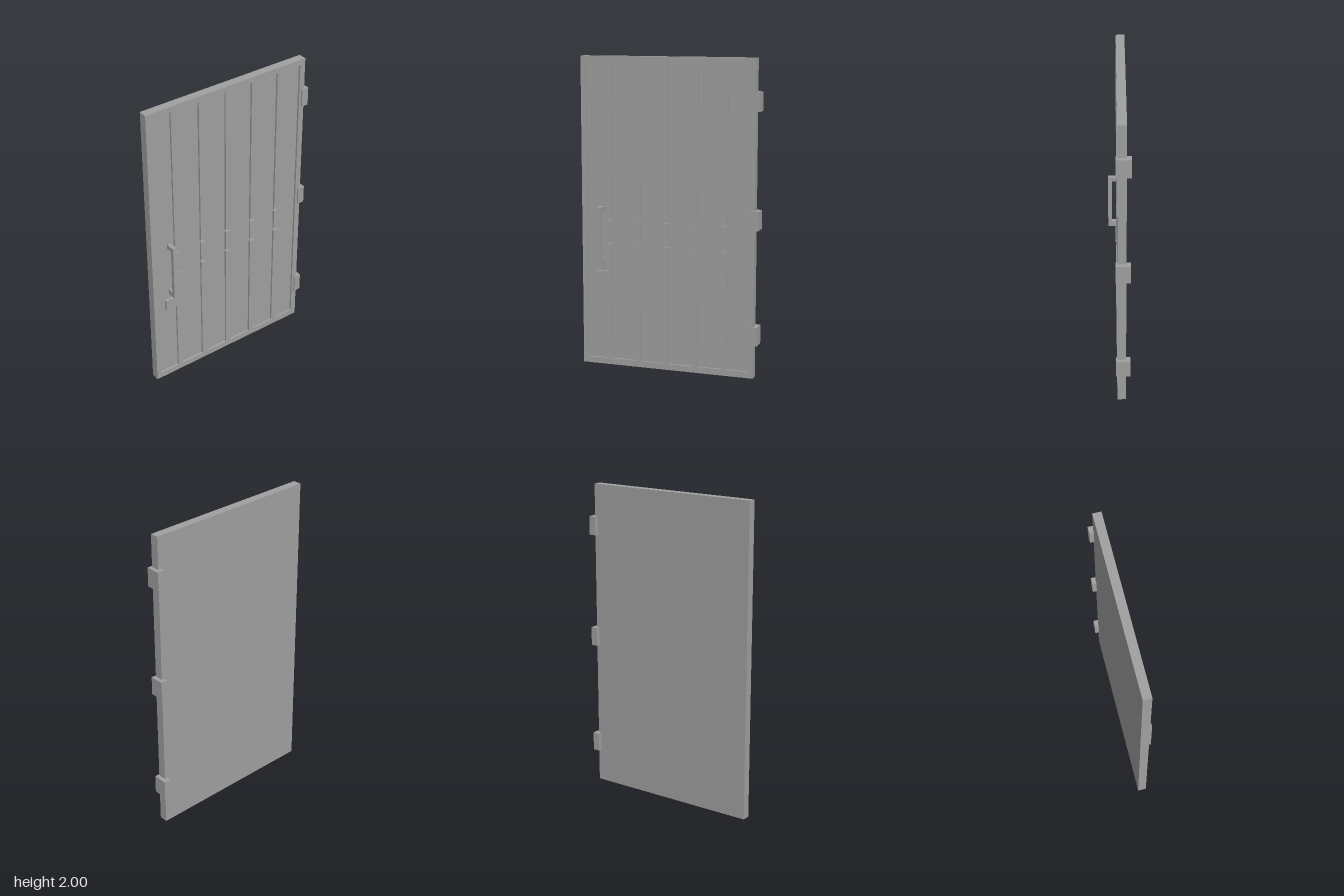
import * as THREE from 'three';

export function createModel() {
  const model = new THREE.Group();
  model.name = 'door';
  const steel = new THREE.MeshStandardMaterial({ color: 0xa0a0a0 });
  steel.name = 'grey steel';

  // Box given by its limits on each axis
  function box(name, x0, x1, y0, y1, z0, z1, parent = model) {
    const mesh = new THREE.Mesh(new THREE.BoxGeometry(x1 - x0, y1 - y0, z1 - z0), steel);
    mesh.position.set((x0 + x1) / 2, (y0 + y1) / 2, (z0 + z1) / 2);
    mesh.name = name;
    parent.add(mesh);
    return mesh;
  }

  const left = -0.587, right = 0.562, back = -0.04, panelZ = 0.001, front = 0.0145;
  const strips = [-0.4, -0.206, -0.0145, 0.1775, 0.37];
  const half = 0.0175;

  // Back slab, whose front is the recessed panel
  box('panel', left, right, 0, 2, back, panelZ);

  // Frame with strips reaching in from the bottom and the top
  const frame = new THREE.Shape([
    new THREE.Vector2(left, 0), new THREE.Vector2(right, 0),
    new THREE.Vector2(right, 2), new THREE.Vector2(left, 2),
  ]);
  const innerL = -0.553, innerR = 0.525, innerB = 0.04, innerT = 1.965;
  const opening = [[innerL, innerB]];
  for (const x of strips) {
    opening.push([x - half, innerB], [x - half, 0.801], [x + half, 0.801], [x + half, innerB]);
  }
  opening.push([innerR, innerB], [innerR, innerT]);
  for (const x of [...strips].reverse()) {
    opening.push([x + half, innerT], [x + half, 0.973], [x - half, 0.973], [x - half, innerT]);
  }
  opening.push([innerL, innerT]);
  frame.holes.push(new THREE.Path(opening.map(([x, y]) => new THREE.Vector2(x, y))));
  const frameMesh = new THREE.Mesh(
    new THREE.ExtrudeGeometry(frame, { depth: front - panelZ, bevelEnabled: false }), steel);
  frameMesh.position.z = panelZ;
  frameMesh.name = 'frameAndStrips';
  model.add(frameMesh);

  // Short separate blocks in the middle of each strip
  for (const x of strips) box('stripBlock', x - half, x + half, 0.82, 0.957, panelZ, front);

  // Pull handle: one C-shaped bar seen from the side
  const profile = new THREE.Shape([
    [panelZ, 0.657], [0.067, 0.657], [0.067, 1.043], [panelZ, 1.043],
    [panelZ, 1.01], [0.042, 1.01], [0.042, 0.693], [panelZ, 0.693],
  ].map(([z, y]) => new THREE.Vector2(-z, y)));
  const handle = new THREE.Mesh(
    new THREE.ExtrudeGeometry(profile, { depth: 0.027, bevelEnabled: false }), steel);
  handle.rotation.y = Math.PI / 2;
  handle.position.x = -0.466;
  handle.name = 'handle';
  model.add(handle);

  // Lock plate below the handle
  box('lockPlate', -0.498, -0.408, 0.545, 0.62, panelZ, 0.0195);

  // Three hinge blocks on the edge
  for (const y of [0.273, 1.004, 1.735]) {
    box('hinge', 0.541, 0.587, y - 0.06, y + 0.06, -0.067, 0.0245);
  }
  return model;
}
